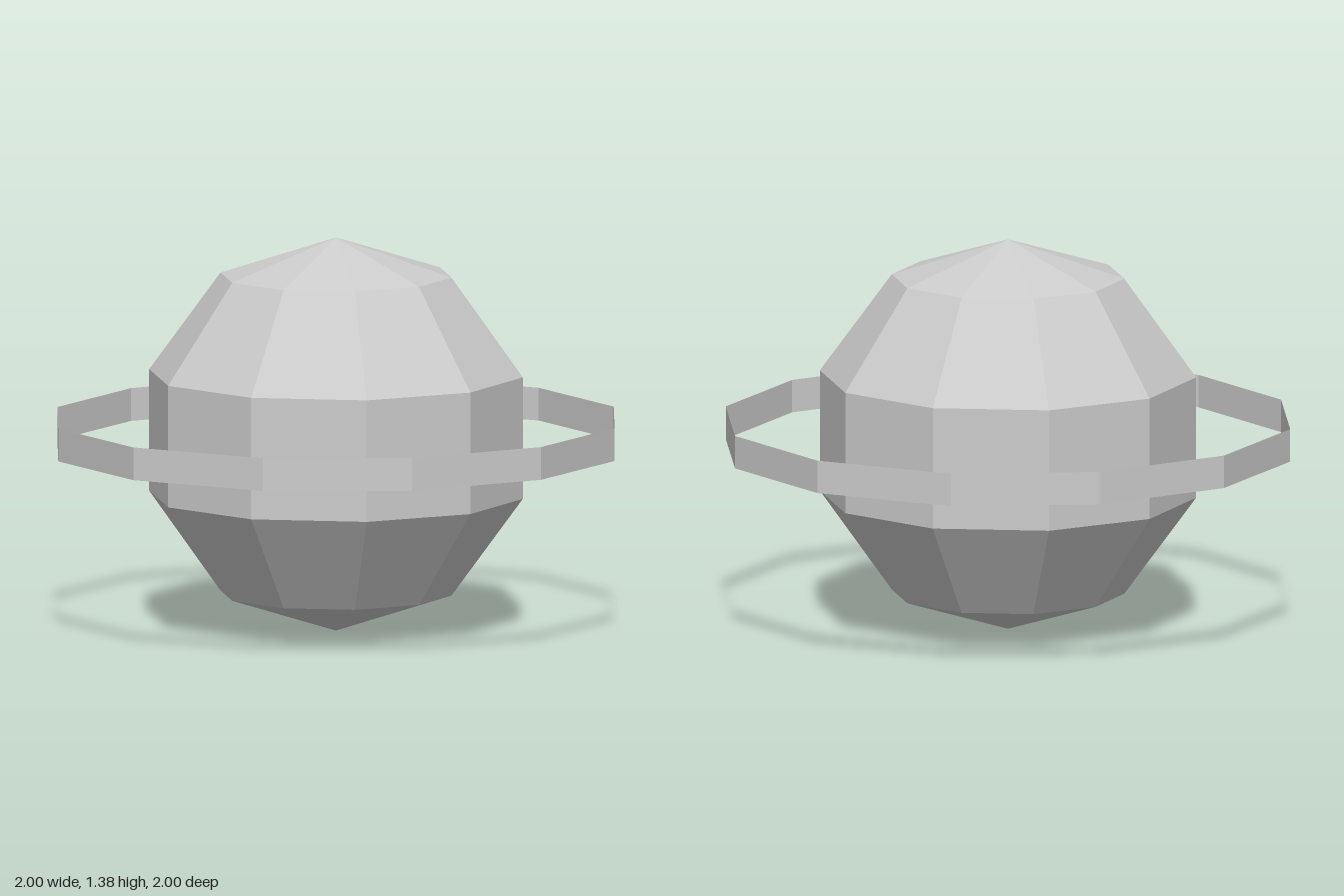
import * as THREE from 'three';

const R = 0.69; // globe radius, also the height of its centre

export function createModel() {
  const model = new THREE.Group();
  model.name = 'ringedPlanet';

  // Low-poly globe, ten sides and five bands
  const globe = new THREE.Mesh(
    new THREE.SphereGeometry(R, 10, 5),
    new THREE.MeshStandardMaterial({ color: 0xcccccc, flatShading: true })
  );
  globe.name = 'globe';
  globe.position.y = R;
  model.add(globe);

  // Thin open band around the equator, twelve sides
  const ring = new THREE.Mesh(
    new THREE.CylinderGeometry(1, 1, 0.115, 12, 1, true),
    new THREE.MeshStandardMaterial({ color: 0xcccccc, flatShading: true, side: THREE.DoubleSide })
  );
  ring.name = 'ring';
  ring.position.y = R;
  model.add(ring);

  return model;
}
